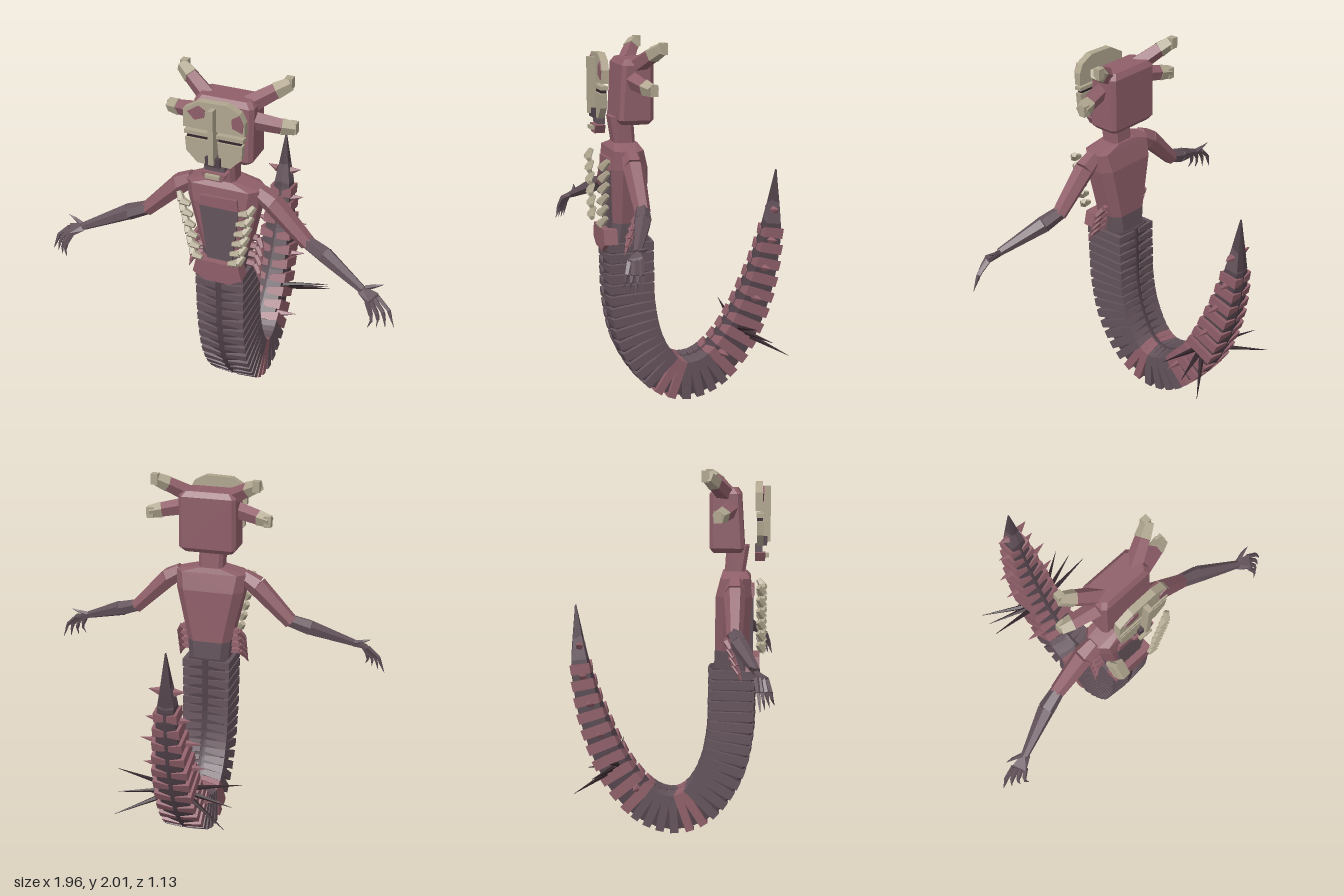
import * as THREE from 'three';
import { mergeGeometries } from 'three/addons/utils/BufferGeometryUtils.js';
import { ConvexGeometry } from 'three/addons/geometries/ConvexGeometry.js';

const paint = (name, color) => Object.assign(new THREE.MeshStandardMaterial({ color, flatShading: true }), { name });
const V = (x, y, z) => new THREE.Vector3(x, y, z);

// Solid hull from [x, y, z] corners
const hull = (pts) => new ConvexGeometry(pts.map((p) => (p.isVector3 ? p : V(...p))));

// Rectangular ring at height y with cut corners
function ring(y, x, zBack, zFront, cut) {
  const out = [];
  for (const s of [-1, 1]) {
    out.push([s * (x - cut), y, zBack], [s * x, y, zBack + cut], [s * x, y, zFront - cut], [s * (x - cut), y, zFront]);
  }
  return out;
}

// Tapered prism between two points
function prism(a, b, r0, r1, sides = 6) {
  const p = V(...a), q = V(...b), d = q.clone().sub(p);
  const g = new THREE.CylinderGeometry(r1, r0, d.length(), sides);
  g.applyQuaternion(new THREE.Quaternion().setFromUnitVectors(V(0, 1, 0), d.normalize()));
  g.translate((a[0] + b[0]) / 2, (a[1] + b[1]) / 2, (a[2] + b[2]) / 2);
  return g;
}

// Chain of prisms through several points
const chain = (pts, radii, sides) => mergeGeometries(
  pts.slice(1).map((p, i) => prism(pts[i], p, radii[i], radii[i + 1], sides)));

function plate(outline, z, depth) {
  const shape = new THREE.Shape(outline.map(([x, y]) => new THREE.Vector2(x, y)));
  return new THREE.ExtrudeGeometry(shape, { depth, bevelEnabled: false }).translate(0, 0, z);
}

function box(x, y, z, w, h, d) {
  return new THREE.BoxGeometry(w, h, d).translate(x, y, z);
}

// Piecewise linear lookup
function ramp(table, u) {
  for (let i = 1; i < table.length; i++) {
    const [u0, v0] = table[i - 1], [u1, v1] = table[i];
    if (u <= u1) return v0 + ((v1 - v0) * (u - u0)) / (u1 - u0);
  }
  return table[table.length - 1][1];
}

export function createModel() {
  const model = new THREE.Group();
  const flesh = paint('dusky rose', 0x8f5f69);
  const hide = paint('grey plum', 0x64535b);
  const core = paint('dark plum', 0x51424a);
  const bone = paint('bone', 0xb0a68f);
  const black = paint('near black', 0x35272d);
  const add = (name, geo, mat, parent = model) => {
    const m = new THREE.Mesh(geo, mat);
    m.name = name;
    parent.add(m);
    return m;
  };

  // Tail: hooked centre line with plates on both sides
  const path = new THREE.CatmullRomCurve3([[0.93, 0.325], [0.75, 0.322], [0.57, 0.315], [0.35, 0.265], [0.17, 0.145],
    [0.112, 0.02], [0.145, -0.13], [0.3, -0.29], [0.56, -0.42], [0.88, -0.51], [1.265, -0.545]].map(([y, z]) => V(0, y, z)));
  const half = [[0, 0.133], [0.25, 0.132], [0.45, 0.11], [0.6, 0.1], [0.72, 0.085], [0.84, 0.062], [1, 0.004]];
  const wide = [[0, 0.138], [0.3, 0.132], [0.5, 0.115], [0.7, 0.1], [0.84, 0.068], [1, 0.004]];
  const length = path.getLength();
  // Point at x across, n outwards from the bend, d along the tail
  const onTail = (u, x, n, d = 0) => {
    const p = path.getPointAt(u), t = path.getTangentAt(u);
    return V(x, p.y + n * t.z + d * t.y, p.z - n * t.y + d * t.z);
  };
  const section = (u) => {
    const h = ramp(half, u), w = ramp(wide, u) * 0.78;
    return [[-w, 0.8], [0, 0.98], [w, 0.8], [w, -0.8], [0, -0.95], [-w, -0.8]].map(([x, n]) => onTail(u, x, n * h));
  };
  const coreParts = [], hidePlates = [], fleshPlates = [];
  for (let i = 0; i < 36; i++) coreParts.push(hull([...section(i / 36), ...section((i + 1) / 36)]));
  add('tailCore', mergeGeometries(coreParts), core);
  for (let s = 0.03; s < length * 0.87;) {
    const u = s / length, step = u < 0.5 ? 0.058 : 0.088;
    const d = u < 0.5 ? 0.023 : 0.029, h = ramp(half, u), w = ramp(wide, u);
    const isFlesh = u > 0.5 || (u > 0.36 && u < 0.41);
    for (const k of [-1, 1]) {
      const pts = [];
      for (const e of [-1, 1]) {
        pts.push(onTail(u, k * w * 0.12, h, e * d * 0.6), onTail(u, k * w, h * 0.93, e * d),
          onTail(u, k * w, -h * 0.93, e * d), onTail(u, k * w * 0.12, -h, e * d * 0.6 - 0.012));
      }
      (isFlesh ? fleshPlates : hidePlates).push(hull(pts));
    }
    s += step;
  }
  add('tailPlates', mergeGeometries(hidePlates), hide);
  add('rearTailPlates', mergeGeometries(fleshPlates), flesh);
  add('tailTip', hull([...section(0.87), onTail(1, 0, 0)]).scale(1.05, 1, 1), hide);

  // Torso and neck
  add('torso', hull([...ring(1.46, 0.08, 0.27, 0.4, 0.02), ...ring(1.43, 0.2, 0.26, 0.42, 0.04),
    ...ring(1.33, 0.195, 0.235, 0.43, 0.05), ...ring(1.03, 0.125, 0.23, 0.415, 0.04)]), flesh);
  add('waist', hull([...ring(1.03, 0.125, 0.23, 0.415, 0.04), ...ring(0.92, 0.115, 0.225, 0.43, 0.04)]), hide);
  add('chestPanel', hull([0.405, 0.438].flatMap((z) => [[-0.11, 1.32, z], [0.11, 1.32, z], [0.07, 1.0, z], [-0.07, 1.0, z]])), hide);
  add('collarPanel', hull([0.41, 0.442].flatMap((z) => [[-0.1, 1.38, z], [0.1, 1.385, z], [0.11, 1.32, z], [-0.11, 1.32, z]])), flesh);
  add('pelvisPlate', plate([[-0.12, 1.0], [-0.14, 0.92], [-0.07, 0.88], [0.07, 0.88], [0.14, 0.92], [0.12, 1.0]], 0.4, 0.075), flesh);
  add('neck', hull([...ring(1.44, 0.07, 0.28, 0.39, 0.02), ...ring(1.6, 0.07, 0.29, 0.415, 0.02)]), flesh);

  // Head block
  add('head', hull([...ring(1.565, 0.14, 0.22, 0.37, 0.02), ...ring(1.59, 0.163, 0.202, 0.388, 0.02),
    ...ring(1.88, 0.163, 0.2, 0.37, 0.02), ...ring(1.91, 0.14, 0.22, 0.35, 0.02)]), flesh);

  // Floating mask
  const mask = new THREE.Group();
  mask.name = 'mask';
  model.add(mask);
  add('forehead', plate([[-0.165, 1.79], [-0.165, 1.89], [-0.08, 1.94], [0.07, 1.945], [0.14, 1.91], [0.165, 1.86], [0.165, 1.79]], 0.445, 0.04), bone, mask);
  add('browBar', box(0, 1.765, 0.47, 0.32, 0.02, 0.04), bone, mask);
  add('noseBar', box(0, 1.77, 0.5, 0.028, 0.3, 0.055), bone, mask);
  add('noseTip', box(0, 1.625, 0.485, 0.08, 0.05, 0.05), core, mask);
  add('upperLip', box(0, 1.585, 0.465, 0.11, 0.04, 0.04), hide, mask);
  add('jaw', hull([0.445, 0.5].flatMap((z) => [[-0.07, 1.56, z], [0.07, 1.56, z], [0.045, 1.515, z], [-0.045, 1.515, z]])), flesh, mask);
  add('teeth', box(0, 1.545, 0.495, 0.08, 0.02, 0.05), bone, mask);
  add('leftSpot', plate([[0.1, 1.83], [0.1, 1.88], [0.14, 1.905], [0.16, 1.86], [0.155, 1.81]], 0.485, 0.006), flesh, mask);
  add('rightSpot', plate([[-0.14, 1.88], [-0.08, 1.92], [-0.045, 1.9], [-0.05, 1.86], [-0.1, 1.84]], 0.485, 0.006), flesh, mask);

  for (const k of [-1, 1]) {
    const side = new THREE.Group();
    side.name = k > 0 ? 'leftSide' : 'rightSide';
    model.add(side);
    const m = (pts) => pts.map(([x, y, z]) => [k * x, y, z]);
    const put = (name, geo, mat) => add(name, geo, mat, side);

    put('cheek', hull(m([0.455, 0.49].flatMap((z) => [[0.02, 1.735, z], [0.155, 1.735, z], [0.15, 1.66, z], [0.09, 1.6, z], [0.03, 1.6, z]]))), bone);
    put('eyeSlit', box(k * 0.085, 1.745, 0.47, 0.12, 0.014, 0.03), black);

    // Horns with bone ends
    for (const [a, b, c, knob] of [
      [[0.11, 1.87, 0.29], [0.23, 1.94, 0.23], [0.295, 1.975, 0.195], [0.285, 1.965, 0.185]],
      [[0.14, 1.8, 0.31], [0.28, 1.775, 0.275], [0.345, 1.765, 0.255], [0.335, 1.755, 0.25]]]) {
      const [p, q, r, e] = m([a, b, c, knob]);
      put('hornStalk', prism(p, q, 0.05, 0.042, 5), flesh);
      put('hornTip', mergeGeometries([prism(q, r, 0.046, 0.036, 5), box(e[0], e[1] + 0.01, e[2], 0.04, 0.06, 0.04)]), bone);
    }

    // Arm
    put('upperArm', chain(m([[0.18, 1.41, 0.34], [0.26, 1.36, 0.34], [0.46, 1.16, 0.345]]), [0.045, 0.058, 0.042]), flesh);
    put('forearm', chain(m([[0.45, 1.17, 0.345], [0.56, 1.13, 0.37], [0.8, 1.03, 0.46]]), [0.038, 0.046, 0.022]), hide);
    put('palm', hull(m([[0.78, 1.05, 0.44], [0.78, 1.02, 0.48], [0.8, 1.01, 0.45], [0.88, 1.03, 0.455],
      [0.89, 1.0, 0.455], [0.84, 0.99, 0.515], [0.85, 1.01, 0.52]])), hide);
    const digits = [[m([[0.81, 1.04, 0.45], [0.86, 1.055, 0.435], [0.9, 1.07, 0.43]]), [0.014, 0.01, 0.001]]];
    for (let i = 0; i < 4; i++) {
      const f = i / 3;
      digits.push([m([[0.88 - 0.04 * f, 1.01 - 0.01 * f, 0.46 + 0.05 * f], [0.945 - 0.075 * f, 0.95 - 0.01 * f, 0.47 + 0.06 * f],
        [0.96 - 0.085 * f, 0.91, 0.475 + 0.062 * f], [0.98 - 0.12 * f, 0.86 + 0.005 * i, 0.48 + 0.07 * f]]), [0.014, 0.012, 0.008, 0.001]]);
    }
    put('fingers', mergeGeometries(digits.map(([p, r]) => chain(p, r, 4))), hide);

    // Floating breast ribs
    const ribs = [];
    for (let i = 0; i < 6; i++) {
      const x = 0.125 - i * 0.012, y = 1.345 - i * 0.063;
      ribs.push(chain(m([[x + 0.085, y + 0.045, 0.465], [x + 0.06, y + 0.01, 0.49], [x + 0.01, y, 0.495]]), [0.016, 0.024, 0.014], 5));
    }
    put('ribs', mergeGeometries(ribs), bone);

    // Curved hip barbs
    const barbs = [];
    for (let i = 0; i < 4; i++) {
      const y = 1.1 - i * 0.045, z = 0.29 + i * 0.015;
      barbs.push(chain(m([[0.1, y - 0.01, z], [0.165, y - 0.01, z + 0.005], [0.195, y - 0.05, z + 0.03], [0.205, y - 0.09, z + 0.045]]), [0.022, 0.02, 0.013, 0.001], 5));
    }
    put('hipBarbs', mergeGeometries(barbs), flesh);

    // Tail thorns
    const thorns = [[1.04, -0.52, 0.04, 0.1], [0.87, -0.5, 0.05, 0.125], [0.72, -0.455, 0.07, 0.17], [0.55, -0.4, 0.08, 0.175], [0.25, -0.2, 0.09, 0.2]]
      .map(([y, z, x0, x1]) => prism([k * x0, y, z], [k * x1, y + 0.012, z - 0.01], 0.024, 0.001, 5));
    put('tailThorns', mergeGeometries(thorns), flesh);
    const spines = [[0.355, 0.445, -0.32], [0.325, 0.355, -0.42], [0.31, 0.27, -0.52]]
      .map((tip, i) => prism([k * 0.07, 0.38 - i * 0.02, -0.31 - i * 0.02], m([tip])[0], 0.017, 0.001, 5));
    put('longSpines', mergeGeometries(spines), black);
  }
  return model;
}
